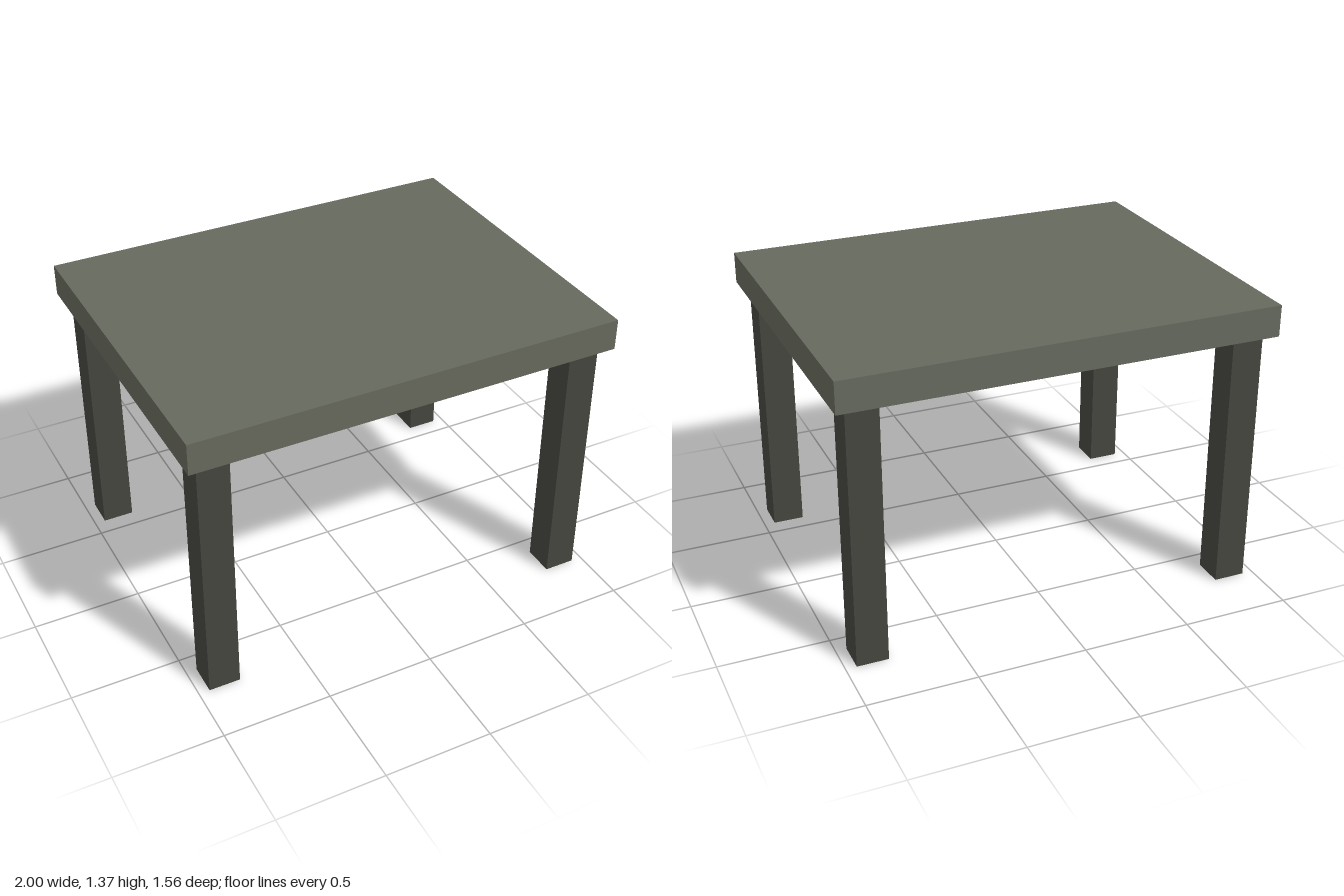
import * as THREE from 'three';

const TOP_Y = 1.365, UNDER_Y = 1.22, BRACE_Y = 1.175;

export function createModel() {
  const table = new THREE.Group();
  table.name = 'table';
  const topMat = new THREE.MeshStandardMaterial({ color: 0x66695d });
  topMat.name = 'grey green top';
  const frameMat = new THREE.MeshStandardMaterial({ color: 0x45453f });
  frameMat.name = 'dark grey frame';

  const add = (name, geometry, material, x, y, z) => {
    const mesh = new THREE.Mesh(geometry, material);
    mesh.name = name;
    mesh.position.set(x, y, z);
    table.add(mesh);
  };

  // Thick slab top
  add('tableTop', new THREE.BoxGeometry(2, TOP_Y - UNDER_Y, 1.56), topMat, 0, (TOP_Y + UNDER_Y) / 2, 0);

  // Four square legs
  const legGeometry = new THREE.BoxGeometry(0.145, UNDER_Y, 0.145);
  for (const [sx, side] of [[1, 'Left'], [-1, 'Right']])
    for (const [sz, end] of [[1, 'front'], [-1, 'back']])
      add(`${end}${side}Leg`, legGeometry, frameMat, sx * 0.8775, UNDER_Y / 2, sz * 0.6575);

  // Two crossing diagonal braces with uneven stepped edges
  add('diagonalBrace', braceGeometry(1), frameMat, 0, UNDER_Y, 0);
  add('crossingBrace', braceGeometry(-1), frameMat, 0, UNDER_Y, 0);
  return table;
}

// Stepped band between opposite legs; mirror is 1 or -1
function braceGeometry(mirror) {
  const steps = 28, endX = 0.85, endZ = 0.63, halfWidth = 0.085;
  const along = (i, phase) =>
    i === 0 ? -1 : i === steps ? 1 : (2 * i) / steps - 1 + 0.022 * Math.sin(i * 2.4 + phase);
  const edge = (side) => {
    const points = [];
    for (let i = 0; i < steps; i++) {
      const a = along(i, side), b = along(i + 1, side);
      const z = ((a + b) / 2) * endZ + side * halfWidth;
      points.push(new THREE.Vector2(mirror * a * endX, z), new THREE.Vector2(mirror * b * endX, z));
    }
    return points;
  };
  const outline = new THREE.Shape([...edge(-1), ...edge(1).reverse()]);
  const geometry = new THREE.ExtrudeGeometry(outline, { depth: UNDER_Y - BRACE_Y, bevelEnabled: false });
  return geometry.rotateX(Math.PI / 2);
}
